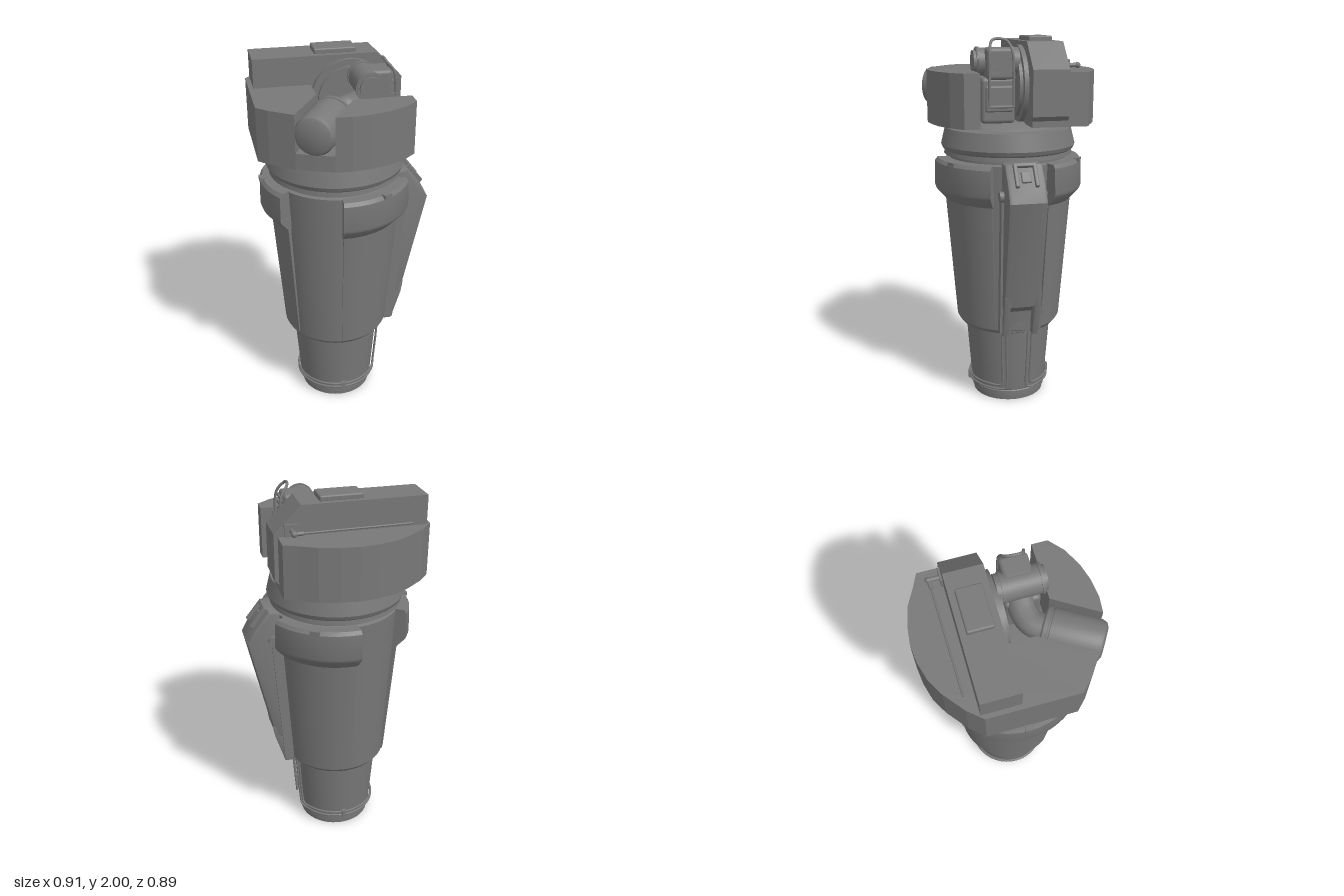
import * as THREE from 'three';
import { toCreasedNormals } from 'three/addons/utils/BufferGeometryUtils.js';
import { RoundedBoxGeometry } from 'three/addons/geometries/RoundedBoxGeometry.js';

const CX = -0.04; // tower axis
const rad = THREE.MathUtils.degToRad;
const v2 = (pts) => pts.map(([x, y]) => new THREE.Vector2(x, y));
const v3 = (pts) => pts.map((p) => new THREE.Vector3(...p));

export function createModel() {
  const model = new THREE.Group();
  const metal = new THREE.MeshStandardMaterial({ color: 0x787878 });

  const add = (name, geometry, x = 0, y = 0, z = 0) => {
    const mesh = new THREE.Mesh(geometry, metal);
    mesh.name = name;
    mesh.position.set(x, y, z);
    model.add(mesh);
    return mesh;
  };
  const box = (name, x0, x1, y0, y1, z0, z1, r = 0) => {
    const size = [x1 - x0, y1 - y0, z1 - z0];
    const geo = r ? new RoundedBoxGeometry(...size, 2, r) : new THREE.BoxGeometry(...size);
    return add(name, geo, (x0 + x1) / 2, (y0 + y1) / 2, (z0 + z1) / 2);
  };
  const lathe = (pts, seg = 48) => toCreasedNormals(new THREE.LatheGeometry(v2(pts), seg), 0.5);
  const tube = (name, pts, r, seg = 32, x = 0) =>
    add(name, new THREE.TubeGeometry(new THREE.CatmullRomCurve3(v3(pts), false, 'centripetal'), seg, r, 10), x);
  // cylinder between two points
  const rod = (name, a, b, r, seg = 16) => {
    const [p, q] = v3([a, b]);
    const mesh = add(name, new THREE.CylinderGeometry(r, r, p.distanceTo(q), seg));
    mesh.position.copy(p).lerp(q, 0.5);
    mesh.quaternion.setFromUnitVectors(new THREE.Vector3(0, 1, 0), q.sub(p).normalize());
    return mesh;
  };
  // closed radius/height profile swept through an angle about the tower axis
  const sector = (name, profile, from, to) => {
    const geo = new THREE.ExtrudeGeometry(new THREE.Shape(v2(profile)),
      { depth: 1, steps: 16, bevelEnabled: false });
    const p = geo.attributes.position;
    for (let i = 0; i < p.count; i++) {
      const r = p.getX(i), a = rad(from + (to - from) * p.getZ(i));
      p.setXYZ(i, r * Math.cos(a), p.getY(i), r * Math.sin(a));
    }
    return add(name, toCreasedNormals(geo, 0.4), CX);
  };

  // tapered tower with socket base and collar
  add('tower', lathe([
    [0, 0], [0.198, 0], [0.2, 0.025], [0.206, 0.028], [0.206, 0.055], [0.2, 0.06], [0.21, 0.068],
    [0.237, 0.425], [0.262, 0.432], [0.28, 0.455], [0.335, 1.365], [0.318, 1.372], [0.318, 1.385],
    [0.345, 1.39], [0.342, 1.412], [0.352, 1.42], [0.36, 1.44], [0.338, 1.53], [0.27, 1.532],
    [0.25, 1.548], [0.19, 1.566], [0, 1.566],
  ], 64), CX);

  // three armour panels, each with a flared head block
  for (const mid of [60, 180, 300]) {
    sector('sidePanel', [[0.26, 0.47], [0.288, 0.47], [0.345, 1.2], [0.3, 1.2]], mid - 34, mid + 34);
    sector('panelBlock', [[0.3, 1.15], [0.345, 1.15], [0.393, 1.205], [0.398, 1.22], [0.394, 1.352],
      [0.38, 1.37], [0.3, 1.37]], mid - 35, mid + 35);
    sector('panelTab', [[0.37, 1.355], [0.4, 1.355], [0.4, 1.375], [0.37, 1.375]], mid - 4, mid + 3);
  }

  // spine housing on the left side
  const extrudeZ = (pts, width, bevel) => {
    const geo = new THREE.ExtrudeGeometry(new THREE.Shape(v2(pts)), {
      depth: width - 2 * bevel, bevelEnabled: bevel > 0, bevelSize: bevel, bevelThickness: bevel,
      bevelOffset: -bevel, bevelSegments: 2,
    });
    return toCreasedNormals(geo.translate(0, 0, bevel - width / 2), 0.5);
  };
  add('spine', extrudeZ([[0.2, 0.44], [0.235, 0.44], [0.25, 0.57], [0.322, 0.62], [0.452, 1.21],
    [0.41, 1.29], [0.335, 1.385], [0.25, 1.385]], 0.2, 0.018));
  for (const s of [-1, 1]) {
    add('spineCheek', extrudeZ([[0.2, 0.44], [0.272, 0.44], [0.325, 0.615], [0.335, 0.68], [0.25, 0.68]],
      0.035, 0.006), 0, 0, s * 0.081);
    rod('spineKnob', [0.315, 1.22, s * 0.09], [0.315, 1.22, s * 0.122], 0.028, 20);
    box('spineRail', 0.25, 0.3, 0.46, 1.2, s * 0.1 - 0.012, s * 0.1 + 0.012).rotation.z = -0.07;
  }
  // hatch frame on the sloping top
  const hatch = new THREE.Group();
  hatch.name = 'spineHatch';
  hatch.position.set(0.376, 1.335, 0);
  hatch.rotation.z = rad(-51.7);
  const hatchPart = (x, z, w, d, h) => {
    const m = new THREE.Mesh(new RoundedBoxGeometry(w, h, d, 2, 0.005), metal);
    m.name = 'hatchPart';
    m.position.set(x, h / 2 - 0.005, z);
    hatch.add(m);
  };
  hatchPart(0, 0.05, 0.13, 0.02, 0.024);
  hatchPart(0, -0.05, 0.13, 0.02, 0.024);
  hatchPart(-0.055, 0, 0.02, 0.1, 0.024);
  hatchPart(0.01, 0, 0.06, 0.05, 0.016);
  model.add(hatch);

  // twin conduits running down the base and wrapping round each side
  for (const s of [-1, 1]) for (const k of [0, 1]) {
    const a0 = 14 + k * 6, y0 = 0.078 + k * 0.022;
    const at = (a, r, y) => [r * Math.cos(rad(a)), y, s * r * Math.sin(rad(a))];
    const pts = [at(a0, 0.248, 0.44), at(a0, 0.24, 0.3), at(a0, 0.226, y0 + 0.03),
      at(a0 + 1.5, 0.225, y0 + 0.008), at(a0 + 7, 0.225, y0)];
    for (let a = 40; a <= 180; a += 10) pts.push(at(a, 0.222, y0));
    tube('baseConduit', pts, 0.006, 90, CX);
  }
  for (const s of [-1, 1]) box('conduitClip', CX - 0.012, CX + 0.012, 0.066, 0.112, s * 0.22 - 0.014, s * 0.22 + 0.014);

  // turret shell, open on the left and along the barrel
  const outline = [
    [-0.46, 0.22], [-0.41, 0.27], [-0.297, 0.35], [-0.15, 0.1], [-0.15, -0.05], [0.3, -0.05],
    [0.3, -0.34], [0.235, -0.37], [0.15, -0.415], [0.05, -0.44], [-0.04, -0.45], [-0.13, -0.44],
    [-0.22, -0.415], [-0.3, -0.37], [-0.4, -0.29], [-0.46, -0.22],
  ];
  const frontOutline = [[0.01, 0.21], [0.24, 0.21], [0.3, 0.21], [0.3, 0.29], [0.23, 0.35], [0.14, 0.395],
    [0.05, 0.42], [-0.04, 0.43], [-0.122, 0.422]];
  const slab = (name, pts, y0, y1) => {
    const geo = new THREE.ExtrudeGeometry(new THREE.Shape(v2(pts.map(([x, z]) => [x, -z]))),
      { depth: y1 - y0, bevelEnabled: false });
    return add(name, geo.rotateX(-Math.PI / 2), 0, y0);
  };
  slab('turretShell', outline, 1.56, 1.83);
  slab('turretFront', frontOutline, 1.56, 1.83);
  slab('barrelTray', [[0.01, 0.21], [-0.122, 0.422], [-0.21, 0.39], [-0.297, 0.35], [-0.15, 0.1]], 1.56, 1.64);

  // long upper housing with a bevelled end
  add('upperHousing', extrudeZ([[-0.437, 1.58], [-0.437, 1.975], [0.187, 1.975], [0.32, 1.845], [0.32, 1.615],
    [0.29, 1.58]], 0.187, 0), 0, 0, -0.1415);
  box('roofPlate', -0.125, 0.09, 1.97, 2, -0.205, -0.08, 0.008);

  // round mount on the housing front
  rod('mountDisc', [0.047, 1.757, -0.05], [0.047, 1.757, -0.025], 0.198, 48);
  rod('mountRing', [0.047, 1.757, -0.03], [0.047, 1.757, -0.008], 0.165, 48);

  // aerial on the back
  box('aerialBase', 0.2, 0.27, 1.83, 1.89, -0.246, -0.23);
  rod('aerialPost', [0.235, 1.86, -0.24], [0.235, 1.86, -0.295], 0.011);
  add('aerialJoint', new THREE.SphereGeometry(0.015, 16, 12), 0.235, 1.86, -0.297);
  rod('aerialSleeve', [0.235, 1.86, -0.295], [0.19, 1.86, -0.293], 0.01);
  rod('aerialRod', [0.2, 1.86, -0.294], [-0.345, 1.86, -0.285], 0.005, 8);

  // motor drum, block, fins and loop handle
  rod('motorDrum', [0.1, 1.875, -0.02], [0.1, 1.875, 0.2], 0.07, 32);
  rod('drumCap', [0.1, 1.875, 0.2], [0.1, 1.875, 0.215], 0.058, 32);
  for (const z of [0.008, 0.19]) rod('drumBand', [0.1, 1.875, z - 0.006], [0.1, 1.875, z + 0.006], 0.075, 32);
  box('motorBlock', 0.095, 0.215, 1.79, 1.945, 0.022, 0.16, 0.018);
  for (let i = 0; i < 4; i++) box('motorFin', 0.2, 0.225, 1.808 + i * 0.034, 1.822 + i * 0.034, 0.035, 0.147);
  box('lowerBlock', 0.04, 0.19, 1.57, 1.8, 0.01, 0.185, 0.02);
  box('lowerCover', 0.18, 0.205, 1.63, 1.76, 0.025, 0.165, 0.01);
  for (const z of [0.03, 0.152]) box('motorBracket', 0.2, 0.248, 1.8, 1.83, z - 0.005, z + 0.005);
  tube('loopHandle', [[0.235, 1.66, 0.03], [0.235, 1.82, 0.03], [0.225, 1.935, 0.035], [0.19, 1.982, 0.06],
    [0.185, 1.985, 0.125], [0.225, 1.935, 0.148], [0.235, 1.82, 0.152], [0.235, 1.66, 0.152]], 0.007, 60);
  rod('handleBar', [0.235, 1.66, 0.024], [0.235, 1.66, 0.158], 0.007, 10);

  // bent feed pipe and wide barrel
  tube('feedPipe', [[0.1, 1.79, 0.09], [0.02, 1.755, 0.09], [-0.045, 1.74, 0.115], [-0.1, 1.737, 0.195]], 0.066, 32);
  const barrel = add('barrel', lathe([[0, 0], [0.098, 0], [0.106, 0.008], [0.106, 0.026], [0.099, 0.028],
    [0.099, 0.036], [0.104, 0.038], [0.099, 0.26], [0.09, 0.28], [0.07, 0.29], [0, 0.292]], 40),
  -0.078, 1.735, 0.158);
  barrel.quaternion.setFromUnitVectors(new THREE.Vector3(0, 1, 0), new THREE.Vector3(-0.144, 0, 0.242).normalize());

  return model;
}
